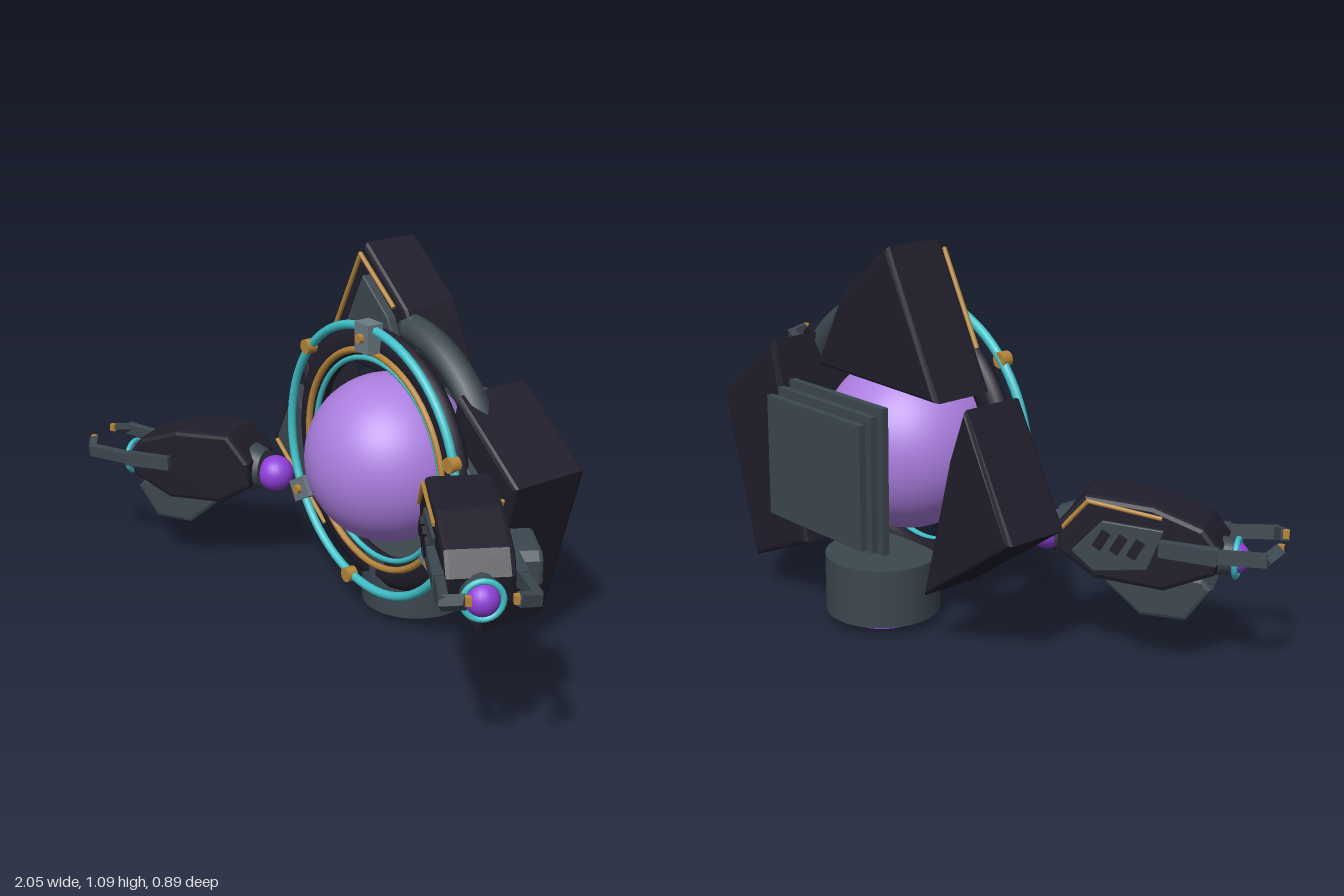
import * as THREE from 'three';

const mat = (name, color) => new THREE.MeshStandardMaterial({ name, color });

export function createModel() {
  const root = new THREE.Group();
  root.name = 'orbDrone';

  const armor = mat('near black armor', 0x201e2b);
  const grey = mat('slate grey', 0x3c474f);
  const steel = mat('light steel', 0x6b7a82);
  const cyan = mat('cyan glow', 0x3fc0c8);
  const gold = mat('gold', 0xb5853a);
  const purple = mat('deep purple', 0x8f3fd8);
  const orb = mat('orb violet', 0xab7ee0);

  const V = (x, y, z) => new THREE.Vector3(x, y, z);
  const add = (parent, name, geo, material, x = 0, y = 0, z = 0) => {
    const m = new THREE.Mesh(geo, material);
    m.name = name;
    m.position.set(x, y, z);
    parent.add(m);
    return m;
  };
  // Bevelled slab from an outline in x, y, spanning z0 to z1
  const slab = (pts, z0, z1, b = 0.012) => {
    const shape = new THREE.Shape(pts.map(([x, y]) => new THREE.Vector2(x, y)));
    const geo = new THREE.ExtrudeGeometry(shape, {
      depth: z1 - z0 - 2 * b, bevelEnabled: true, bevelThickness: b,
      bevelSize: b, bevelOffset: -b, bevelSegments: 2,
    });
    return geo.translate(0, 0, z0 + b);
  };
  // Square bar or round rod between two points
  const bar = (parent, name, a, b, w, h, material) => {
    const m = add(parent, name, new THREE.BoxGeometry(w, h, a.distanceTo(b)), material);
    m.position.copy(a).lerp(b, 0.5);
    m.quaternion.setFromUnitVectors(V(0, 0, 1), b.clone().sub(a).normalize());
  };
  const rods = (parent, name, pts, r, material) => {
    for (let i = 0; i + 1 < pts.length; i++) {
      const a = pts[i], b = pts[i + 1];
      const m = add(parent, name, new THREE.CylinderGeometry(r, r, a.distanceTo(b) + r, 8), material);
      m.position.copy(a).lerp(b, 0.5);
      m.quaternion.setFromUnitVectors(V(0, 1, 0), b.clone().sub(a).normalize());
    }
  };

  // Central orb
  add(root, 'orb', new THREE.SphereGeometry(0.245, 48, 32), orb, 0, 0.5, -0.1);

  // Front rings
  const rings = new THREE.Group();
  rings.name = 'frontRings';
  rings.position.set(0, 0.5, 0);
  root.add(rings);
  add(rings, 'mainRing', new THREE.TorusGeometry(0.342, 0.05, 10, 64), armor, 0, 0, -0.07).scale.z = 0.6;
  add(rings, 'outerGlowRing', new THREE.TorusGeometry(0.396, 0.013, 10, 72), cyan, 0, 0, -0.027);
  add(rings, 'goldRing', new THREE.TorusGeometry(0.322, 0.01, 8, 72), gold, 0, 0, -0.04);
  add(rings, 'innerGlowRing', new THREE.TorusGeometry(0.298, 0.008, 8, 72), cyan, 0, 0, -0.05);
  for (let i = 0; i < 3; i++) {
    const spoke = new THREE.Group();
    spoke.name = 'ringClamp';
    spoke.rotation.z = (i * 2 * Math.PI) / 3;
    rings.add(spoke);
    add(spoke, 'clampBlock', new THREE.BoxGeometry(0.065, 0.085, 0.05), steel, 0, 0.372, -0.025);
    add(spoke, 'clampBolt', new THREE.CylinderGeometry(0.014, 0.014, 0.014, 12).rotateX(Math.PI / 2), gold, 0, 0.372, 0.006);
    const a = THREE.MathUtils.degToRad(17);
    add(spoke, 'ringStud', new THREE.CylinderGeometry(0.022, 0.022, 0.032, 12).rotateX(Math.PI / 2),
      gold, 0.397 * Math.cos(a), 0.397 * Math.sin(a), -0.022);
  }

  // Curved conduit behind the ring
  const conduit = add(root, 'conduit', new THREE.TorusGeometry(0.38, 0.043, 8, 14, Math.PI * 0.31), grey, 0, 0.5, -0.157);
  conduit.rotation.z = Math.PI / 6;
  [30, 85.8].forEach((deg) => {
    const a = THREE.MathUtils.degToRad(deg);
    add(root, 'conduitEnd', new THREE.SphereGeometry(0.043, 8, 6), grey,
      0.38 * Math.cos(a), 0.5 + 0.38 * Math.sin(a), -0.157);
  });

  // Armor plates with raised panels and gold trim
  const plates = [
    { name: 'topPlate', z0: -0.315, z1: -0.13,
      pts: [[-0.165, 1.088], [0.025, 0.935], [0.132, 0.725], [-0.357, 0.715]],
      trim: [[-0.29, 0.82], [-0.165, 1.058], [-0.01, 0.94]] },
    { name: 'leftPlate', z0: -0.345, z1: -0.1,
      pts: [[0.41, 0.1], [0.547, 0.58], [0.3, 0.767], [0.165, 0.205]],
      trim: [[0.51, 0.54], [0.4, 0.165]] },
    { name: 'rightPlate', z0: -0.275, z1: -0.08,
      pts: [[-0.415, 0.705], [-0.587, 0.39], [-0.26, 0.16], [-0.36, 0.56]],
      trim: [[-0.54, 0.39], [-0.285, 0.2]] },
  ];
  for (const p of plates) {
    add(root, p.name, slab(p.pts, p.z0, p.z1), armor);
    const cx = p.pts.reduce((s, q) => s + q[0], 0) / p.pts.length;
    const cy = p.pts.reduce((s, q) => s + q[1], 0) / p.pts.length;
    const inner = p.pts.map(([x, y]) => [cx + (x - cx) * 0.62, cy + (y - cy) * 0.62]);
    add(root, p.name + 'Panel', slab(inner, p.z1 - 0.01, p.z1 + 0.028, 0.004), grey);
    rods(root, p.name + 'Trim', p.trim.map(([x, y]) => V(x, y, p.z1 + 0.013)), 0.007, gold);
  }

  // Rear cooling fins
  for (let i = 0; i < 3; i++) {
    add(root, 'coolingFin', new THREE.BoxGeometry(0.4, 0.4 - i * 0.031, 0.02), grey, 0, 0.478, -0.35 - i * 0.0375);
  }

  // Thruster base
  add(root, 'thrusterHousing', new THREE.CylinderGeometry(0.16, 0.16, 0.165, 32), grey, 0, 0.1125, -0.2);
  add(root, 'thrusterGlow', new THREE.CylinderGeometry(0.098, 0.098, 0.035, 32), purple, 0, 0.0175, -0.2);
  add(root, 'thrusterRim', new THREE.TorusGeometry(0.112, 0.01, 8, 32).rotateX(Math.PI / 2), gold, 0, 0.034, -0.2);

  // Arms: local +x points outward, vents lie on local +z
  const bodyPts = [[-0.22, -0.04], [-0.22, 0.04], [-0.15, 0.122], [0.03, 0.11], [0.16, 0.065],
    [0.205, 0.01], [0.19, -0.06], [0.06, -0.118], [-0.12, -0.105]];
  const makeArm = (name, x, y, z, turn) => {
    const arm = new THREE.Group();
    arm.name = name;
    arm.position.set(x, y, z);
    arm.rotation.y = turn;
    root.add(arm);
    add(arm, 'shoulderBall', new THREE.SphereGeometry(0.055, 24, 16), purple, -0.27, -0.01, 0);
    add(arm, 'shoulderCollar', new THREE.CylinderGeometry(0.075, 0.058, 0.04, 16).rotateZ(-Math.PI / 2), grey, -0.215, 0, 0);
    add(arm, 'forearm', slab(bodyPts, -0.087, 0.087, 0.014), armor);
    // Side panel, vents and trim
    add(arm, 'sidePanel', slab([[-0.18, -0.03], [-0.1, 0.06], [0.06, 0.05], [0.02, -0.06], [-0.12, -0.08]], 0.08, 0.094, 0.003), grey);
    for (let i = 0; i < 3; i++) {
      const vent = add(arm, 'vent', new THREE.BoxGeometry(0.026, 0.05, 0.012), armor, -0.1 + i * 0.045, 0.01 - i * 0.008, 0.098);
      vent.rotation.z = -0.5;
    }
    rods(arm, 'armTrim', [V(-0.205, 0.03, 0.09), V(-0.14, 0.108, 0.09), V(0.05, 0.082, 0.09)], 0.006, gold);
    // Wrist emitter
    add(arm, 'wrist', new THREE.CylinderGeometry(0.045, 0.06, 0.07, 16).rotateZ(-Math.PI / 2), grey, 0.19, -0.03, 0);
    add(arm, 'wristGlow', new THREE.SphereGeometry(0.043, 20, 14), purple, 0.225, -0.033, 0);
    add(arm, 'wristRing', new THREE.TorusGeometry(0.049, 0.008, 8, 28).rotateY(Math.PI / 2), cyan, 0.235, -0.033, 0);
    // Two bent claws
    for (const s of [-1, 1]) {
      bar(arm, 'clawBase', V(0.05, 0.005, s * 0.094), V(0.2, 0.0, s * 0.1), 0.028, 0.042, grey);
      bar(arm, 'clawMiddle', V(0.19, 0.0, s * 0.098), V(0.325, 0.01, s * 0.108), 0.024, 0.034, grey);
      bar(arm, 'clawTip', V(0.318, 0.008, s * 0.112), V(0.345, 0.022, s * 0.06), 0.024, 0.03, grey);
      add(arm, 'clawCap', new THREE.BoxGeometry(0.016, 0.022, 0.014), gold, 0.349, 0.026, s * 0.055);
    }
    return arm;
  };

  // Left arm with a side pod
  const leftArm = makeArm('leftArm', 0.69, 0.555, 0.18, -Math.PI / 6);
  add(leftArm, 'sidePod', slab([[-0.05, -0.075], [-0.05, 0.01], [-0.03, 0.025], [0.09, 0.02], [0.11, 0], [0.11, -0.06], [0.09, -0.08]],
    -0.17, -0.08, 0.012), grey);
  add(leftArm, 'podMark', new THREE.BoxGeometry(0.06, 0.016, 0.008), gold, 0.03, -0.03, -0.172);

  // Right arm with an underslung pod
  const rightArm = makeArm('rightArm', -0.665, 0.342, 0.147, Math.PI * 7 / 6);
  add(rightArm, 'lowerPod', slab([[-0.13, -0.085], [0.16, -0.075], [0.185, -0.105], [0.12, -0.198], [0, -0.198]],
    -0.07, 0.07, 0.012), grey);

  return root;
}
